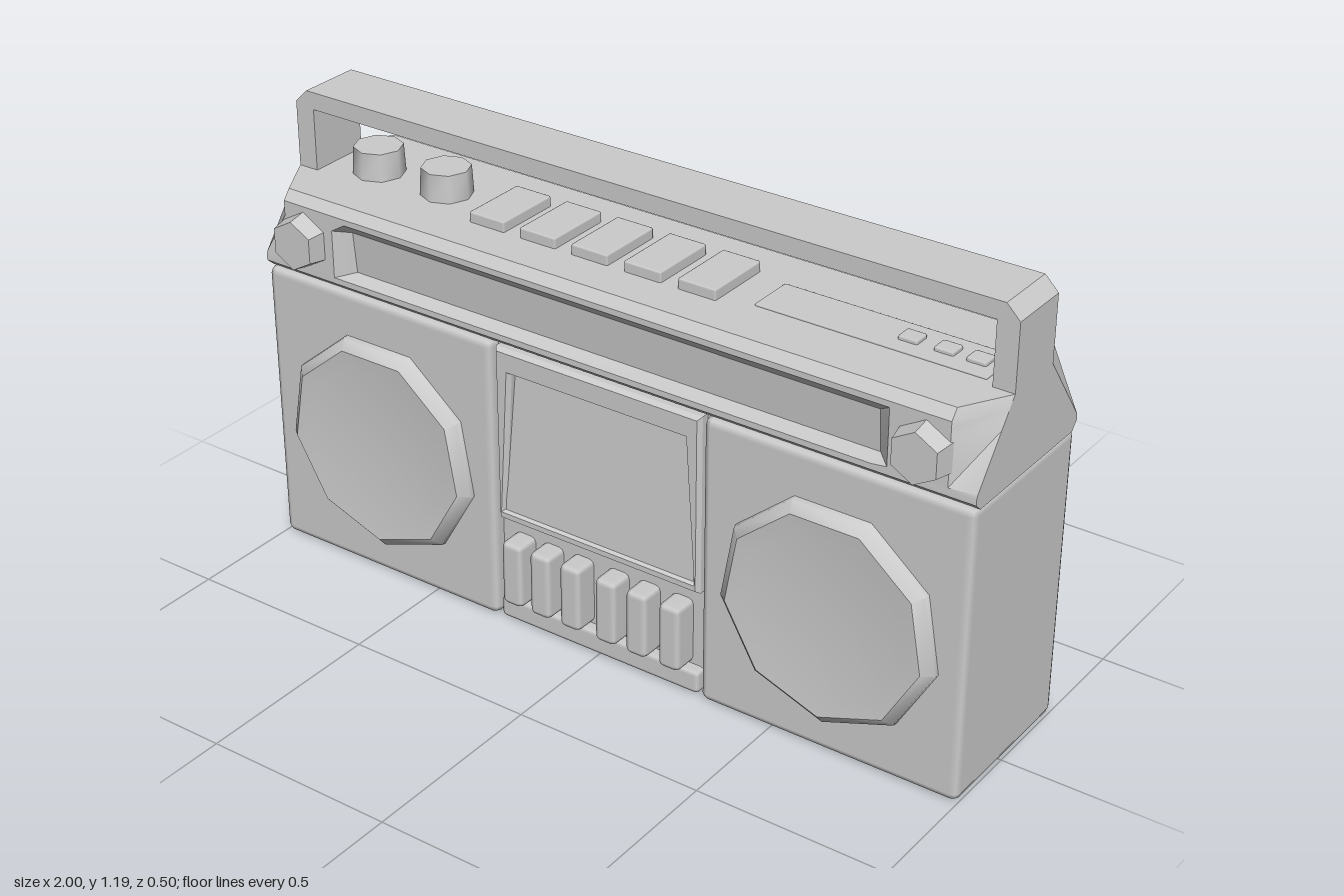
import * as THREE from 'three';
import { toCreasedNormals } from 'three/addons/utils/BufferGeometryUtils.js';
import { RoundedBoxGeometry } from 'three/addons/geometries/RoundedBoxGeometry.js';

const material = new THREE.MeshStandardMaterial({ color: 0xcccccc });

export function createModel() {
  const model = new THREE.Group();
  model.name = 'portableStereo';

  const add = (name, geometry, x = 0, y = 0, z = 0) => {
    const mesh = new THREE.Mesh(geometry, material);
    mesh.name = name;
    mesh.position.set(x, y, z);
    model.add(mesh);
    return mesh;
  };

  // Box with chamfered edges, given by its limits
  const block = (name, [x0, x1], [y0, y1], [z0, z1], r = 0.02) =>
    add(name, new RoundedBoxGeometry(x1 - x0, y1 - y0, z1 - z0, 1, r),
      (x0 + x1) / 2, (y0 + y1) / 2, (z0 + z1) / 2);

  const polygon = (points) => new THREE.Shape(points.map(([x, y]) => new THREE.Vector2(x, y)));

  // Skin over closed (z, y) sections placed along x, with flat ends
  const loft = (sections) => {
    const n = sections[0].points.length;
    const pos = [], index = [];
    sections.forEach(({ x, points }) => points.forEach(([z, y]) => pos.push(x, y, z)));
    for (let i = 0; i < sections.length - 1; i++) {
      for (let j = 0; j < n; j++) {
        const k = (j + 1) % n;
        const a = i * n + j, b = a + n, c = (i + 1) * n + k, d = i * n + k;
        index.push(a, b, c, a, c, d);
      }
    }
    const last = (sections.length - 1) * n;
    for (let j = 1; j < n - 1; j++) {
      index.push(0, j, j + 1, last, last + j + 1, last + j);
    }
    const g = new THREE.BufferGeometry();
    g.setAttribute('position', new THREE.Float32BufferAttribute(pos, 3));
    g.setIndex(index);
    return toCreasedNormals(g, 0.5);
  };

  // Lower cabinet: two speaker boxes around a slightly inset centre
  block('rightSpeakerBox', [-1, -0.303], [0, 0.765], [-0.24, 0.205]);
  block('leftSpeakerBox', [0.303, 1], [0, 0.765], [-0.24, 0.205]);
  block('centreBody', [-0.33, 0.33], [0.002, 0.76], [-0.233, 0.17], 0.015);
  block('lowerBackPanel', [-0.298, 0.298], [0.005, 0.28], [-0.239, -0.1], 0.012);
  block('batteryCover', [-0.88, -0.41], [0.62, 0.72], [-0.25, -0.22], 0.004);

  // Upper console: recessed front band, ends tapering up into the handle posts
  const back = [[-0.21, 0.985], [-0.24, 0.95], [-0.24, 0.8], [-0.24, 0.785], [-0.22, 0.762]];
  const lower = [[0.185, 0.762], [0.205, 0.78], [0.205, 0.795]];
  const full = [...lower, [0.205, 0.8], [0.205, 0.92], [0.205, 0.945], [0.205, 0.96], [0.185, 0.985], ...back];
  const recessed = [...lower, [0.165, 0.805], [0.175, 0.915], [0.205, 0.945], [0.205, 0.96], [0.185, 0.985], ...back];
  const end = [...lower, [0.203, 0.803], [0.114, 0.92], [0.095, 0.945], [0.084, 0.96], [0.065, 0.985],
    [-0.1, 0.985], [-0.126, 0.95], [-0.238, 0.8], [-0.24, 0.785], [-0.22, 0.762]];
  const half = [[0.74, recessed], [0.78, full], [0.93, full], [1, end]];
  add('console', loft([
    ...half.slice().reverse().map(([x, points]) => ({ x: -x, points })),
    ...half.map(([x, points]) => ({ x, points })),
  ]));

  // Carrying handle
  const handle = polygon([
    [-1, 0.975], [-0.945, 0.975], [-0.945, 1.145], [0.945, 1.145], [0.945, 0.975], [1, 0.975],
    [1, 1.155], [0.965, 1.19], [-0.965, 1.19], [-1, 1.155],
  ]);
  add('handle', new THREE.ExtrudeGeometry(handle, { depth: 0.165, bevelEnabled: false }), 0, 0, -0.1);

  // Speakers: nine-sided raised rims with shallow dished grilles
  const dish = [[0.292, -0.01], [0.288, 0.012], [0.262, 0.034], [0.22, 0.03], [0, 0.016]]
    .map(([r, h]) => new THREE.Vector2(r, h));
  for (const side of [-1, 1]) {
    const grille = toCreasedNormals(new THREE.LatheGeometry(dish, 9), 0.75);
    grille.rotateX(Math.PI / 2);
    add(side < 0 ? 'rightSpeaker' : 'leftSpeaker', grille, side * 0.65, 0.375, 0.205);

    // Tuning dials on the console front
    const dial = toCreasedNormals(new THREE.CylinderGeometry(0.064, 0.076, 0.06, 6), 0.4);
    dial.rotateX(Math.PI / 2);
    add(side < 0 ? 'rightDial' : 'leftDial', dial, side * 0.87, 0.872, 0.221);
  }

  // Cassette door with a trapezoid window
  const door = polygon([[-0.294, 0.285], [0.294, 0.285], [0.294, 0.755], [-0.294, 0.755]]);
  door.holes.push(polygon([[-0.275, 0.315], [-0.25, 0.69], [0.25, 0.69], [0.275, 0.315]]));
  add('cassetteDoor', new THREE.ExtrudeGeometry(door, {
    depth: 0.04, bevelThickness: 0.012, bevelSize: 0.008, bevelOffset: -0.008, bevelSegments: 1,
  }), 0, 0, 0.15);
  const pane = add('cassetteWindow', new THREE.BoxGeometry(0.55, 0.39, 0.02), 0, 0.5, 0.175);
  pane.rotation.x = -0.045;

  // Transport keys over a sill
  block('keySill', [-0.294, 0.294], [0.004, 0.065], [0.1, 0.2], 0.012);
  for (const x of [-0.235, -0.15, -0.06, 0.045, 0.135, 0.23]) {
    block('transportKey', [x - 0.03, x + 0.03], [0.07, 0.245], [0.15, 0.233], 0.014);
  }

  // Row of top buttons
  for (let i = 0; i < 5; i++) {
    const x = -0.405 + i * 0.15;
    block('topButton', [x - 0.052, x + 0.052], [0.96, 1.012], [-0.106, 0.077], 0.005);
  }

  // Top knobs under the handle
  for (const x of [-0.815, -0.602]) {
    const knob = toCreasedNormals(new THREE.CylinderGeometry(0.062, 0.066, 0.08, 8), 0.9);
    add('topKnob', knob, x, 1.016, -0.018);
  }

  // Low scale plate with small slider tabs
  block('scalePlate', [0.33, 0.92], [0.97, 0.99], [-0.08, 0.045], 0.003);
  for (const x of [0.7, 0.79, 0.87]) {
    block('sliderTab', [x - 0.025, x + 0.025], [0.975, 1.0], [-0.04, 0.005], 0.005);
  }

  return model;
}
